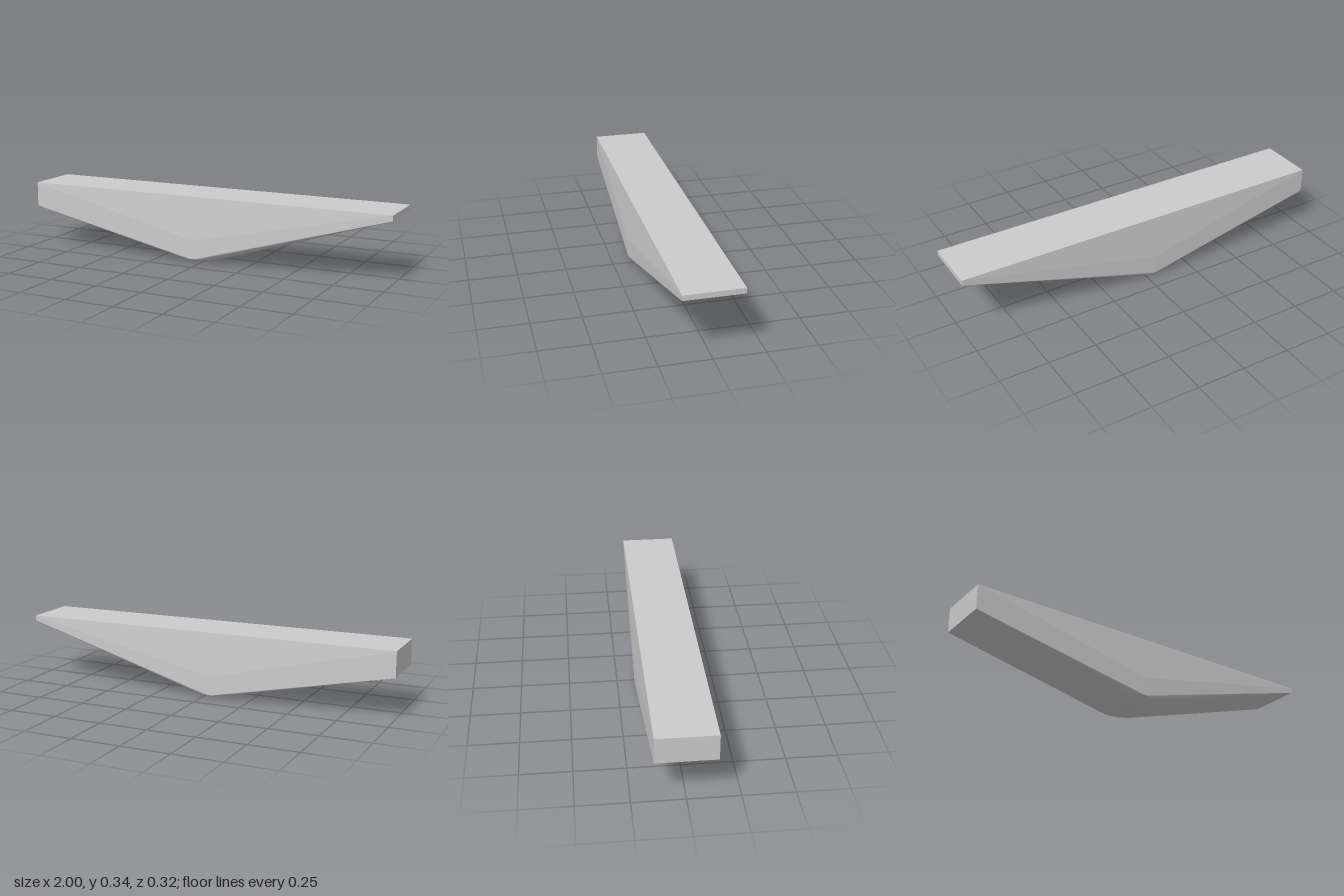
import * as THREE from 'three';
import { ConvexGeometry } from 'three/addons/geometries/ConvexGeometry.js';

export function createModel() {
  const group = new THREE.Group();
  const points = [];

  // Top bar: one deep end, one shallow end
  const top = 0.34, halfWidth = 0.145;
  for (const [x, bottom] of [[-1, 0.21], [1, 0.313]]) {
    for (const z of [-halfWidth, halfWidth]) {
      points.push(new THREE.Vector3(x, top, z), new THREE.Vector3(x, bottom, z));
    }
  }

  // Round boss below the bar, ending in a shallow blunt cone
  const segments = 96, bossX = -0.045;
  for (const [radius, y] of [[0.161, 0.115], [0.161, 0.018], [0.03, 0]]) {
    for (let i = 0; i < segments; i++) {
      const a = (i / segments) * Math.PI * 2;
      points.push(new THREE.Vector3(bossX + radius * Math.cos(a), y, radius * Math.sin(a)));
    }
  }

  // Taut skin around the bar and the boss
  const body = new THREE.Mesh(
    new ConvexGeometry(points),
    new THREE.MeshStandardMaterial({ color: 0xcccccc })
  );
  body.name = 'taperedBody';
  group.add(body);
  return group;
}
